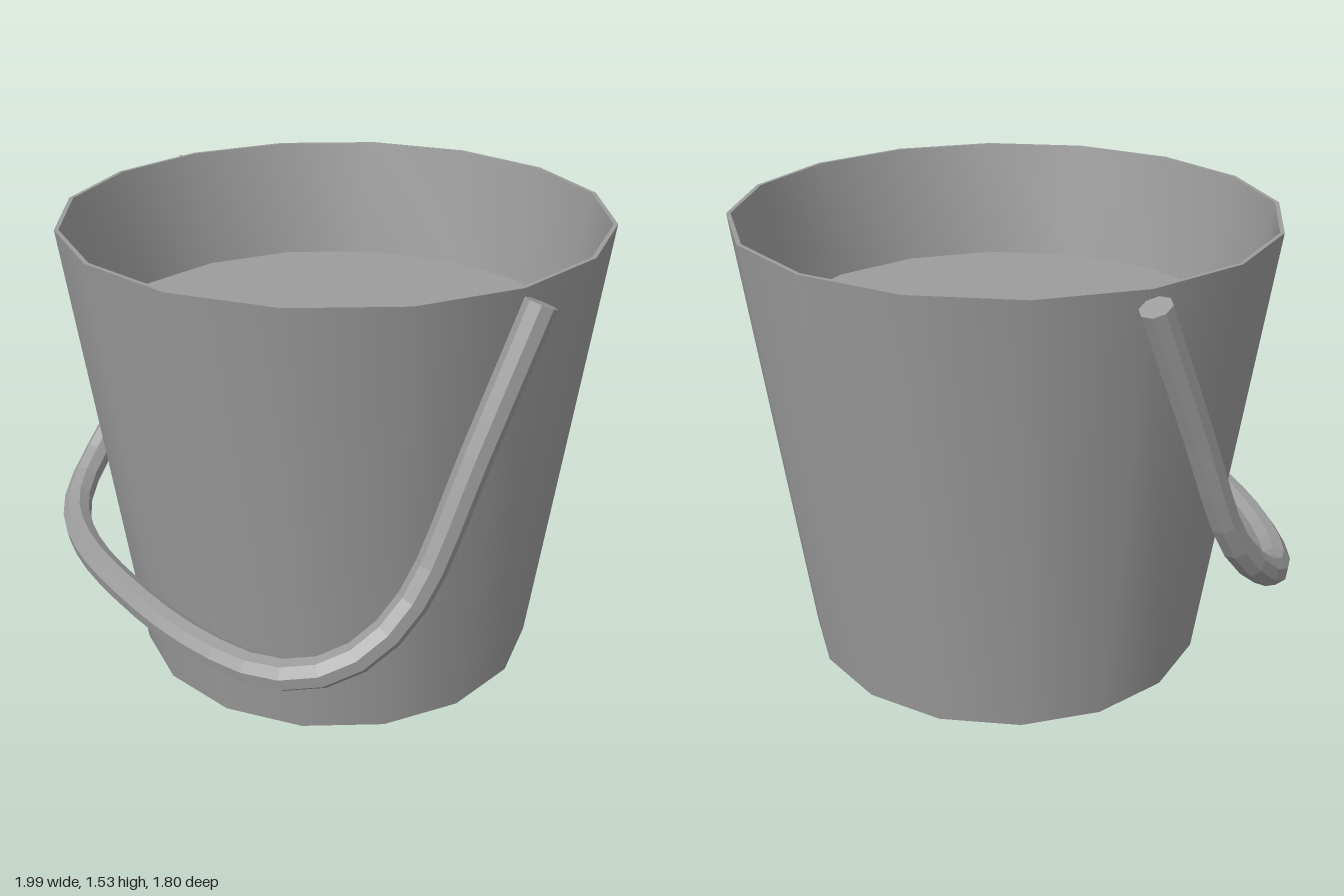
import * as THREE from 'three';
import { toCreasedNormals } from 'three/addons/utils/BufferGeometryUtils.js';

const v2 = (x, y) => new THREE.Vector2(x, y);
const HANDLE_SIDES = 8;
const HANDLE_STEPS = 36;

// Flat cap closing a tube: a fan over one of its rings
function tubeCap(tube, ring, flip) {
  const src = tube.attributes.position;
  const corner = (i) => new THREE.Vector3().fromBufferAttribute(src, ring * (HANDLE_SIDES + 1) + i);
  const points = [];
  for (let i = 1; i < HANDLE_SIDES - 1; i++) {
    const tri = flip ? [corner(0), corner(i + 1), corner(i)] : [corner(0), corner(i), corner(i + 1)];
    points.push(...tri);
  }
  const geo = new THREE.BufferGeometry().setFromPoints(points);
  geo.computeVertexNormals();
  return geo;
}

export function createModel() {
  const model = new THREE.Group();
  model.name = 'bucket';
  const grey = new THREE.MeshStandardMaterial({ color: 0x9c9c9c, side: THREE.DoubleSide });
  grey.name = 'grey';

  const add = (name, geo, parent) => {
    const mesh = new THREE.Mesh(geo, grey);
    mesh.name = name;
    parent.add(mesh);
  };

  // Tapered 16-sided pail: underside, outer wall, thin rim, inner wall, raised inner floor
  const profile = [v2(0, 0), v2(0.69, 0), v2(0.9, 1.535), v2(0.886, 1.535), v2(0.81, 1.13), v2(0, 1.13)];
  add('pail', toCreasedNormals(new THREE.LatheGeometry(profile, 16), 0.7), model);

  // Swinging handle hanging down in front: half a path, mirrored
  const half = [
    [0.947, 1.5, -0.02], [0.917, 1.08, 0.16], [0.888, 0.68, 0.33], [0.865, 0.55, 0.43],
    [0.82, 0.465, 0.53], [0.74, 0.41, 0.63], [0.61, 0.385, 0.72], [0.35, 0.39, 0.805],
  ].map((p) => new THREE.Vector3(...p));
  const mirrored = half.map((p) => new THREE.Vector3(-p.x, p.y, p.z)).reverse();
  const path = new THREE.CatmullRomCurve3([...half, new THREE.Vector3(0, 0.405, 0.84), ...mirrored]);
  const tube = new THREE.TubeGeometry(path, HANDLE_STEPS, 0.05, HANDLE_SIDES);

  const handle = new THREE.Group();
  handle.name = 'handle';
  model.add(handle);
  const bar = tube.toNonIndexed();
  bar.computeVertexNormals(); // faceted bar
  add('handleBar', bar, handle);
  add('handleLeftEnd', tubeCap(tube, 0, false), handle);
  add('handleRightEnd', tubeCap(tube, HANDLE_STEPS, true), handle);

  return model;
}
